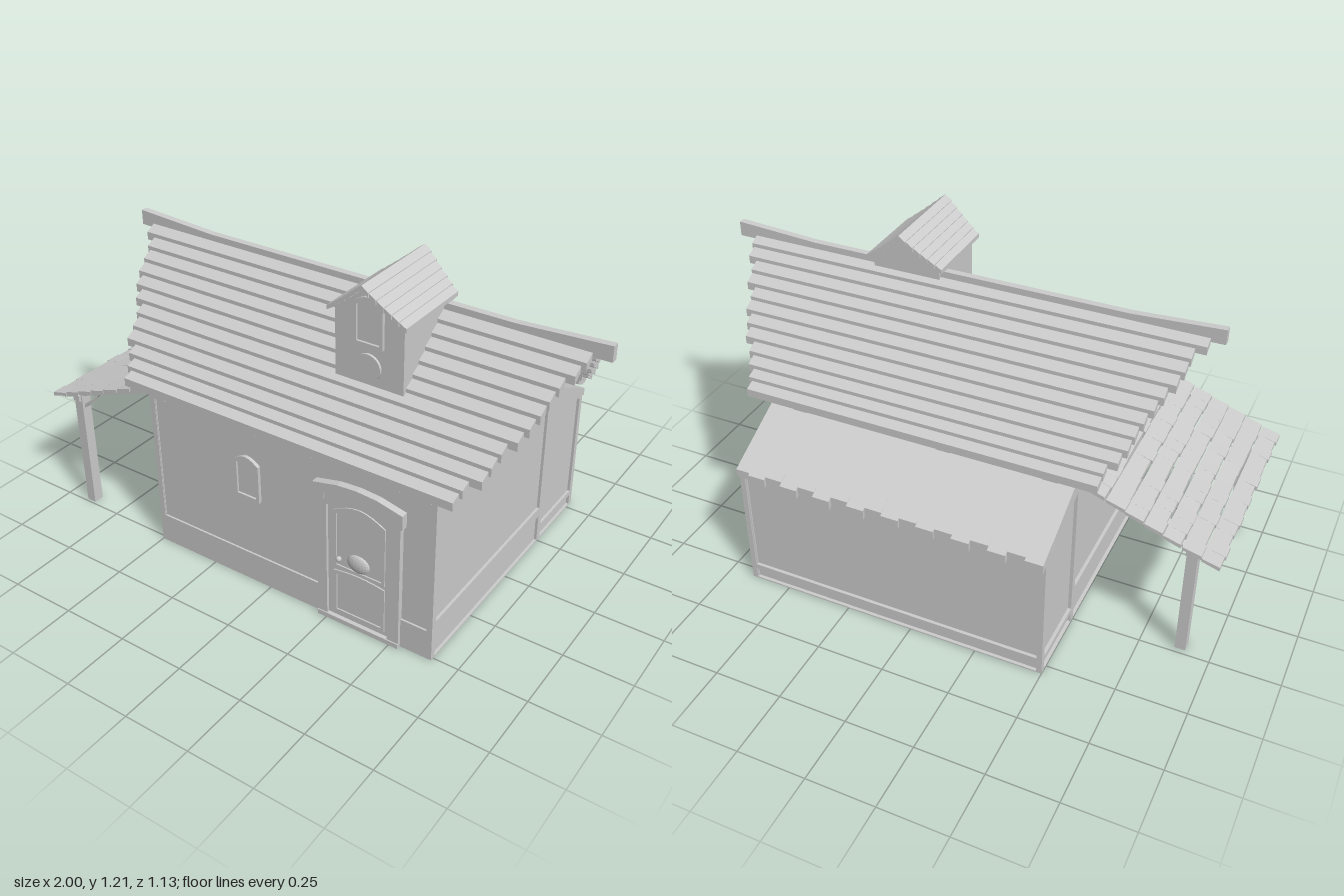
import * as THREE from 'three';

const mat = new THREE.MeshStandardMaterial({ color: 0xcccccc, flatShading: true, side: THREE.DoubleSide });

export function createModel() {
  const model = new THREE.Group();
  const wobble = (i) => { const s = Math.sin(i * 127.1 + 3.7) * 43758.5; return s - Math.floor(s) - 0.5; };

  const add = (name, geo, parent = model) => {
    const m = new THREE.Mesh(geo, mat);
    m.name = name;
    parent.add(m);
    return m;
  };
  const group = (name) => {
    const g = new THREE.Group();
    g.name = name;
    model.add(g);
    return g;
  };
  const box = (name, x0, x1, y0, y1, z0, z1, parent) => {
    const geo = new THREE.BoxGeometry(x1 - x0, y1 - y0, z1 - z0);
    geo.translate((x0 + x1) / 2, (y0 + y1) / 2, (z0 + z1) / 2);
    return add(name, geo, parent);
  };
  const toShape = (pts, holes = []) => {
    const s = new THREE.Shape(pts.map((p) => new THREE.Vector2(...p)));
    holes.forEach((h) => s.holes.push(new THREE.Path(h.map((p) => new THREE.Vector2(...p)))));
    return s;
  };
  // Outline in (z, y), extruded along x
  const sidePrism = (name, pts, x0, x1, holes, parent) => {
    const geo = new THREE.ExtrudeGeometry(toShape(pts, holes), { depth: x1 - x0, bevelEnabled: false });
    geo.rotateY(-Math.PI / 2);
    geo.translate(x1, 0, 0);
    return add(name, geo, parent);
  };
  // Outline in (x, y), extruded along z
  const frontPrism = (name, pts, z0, z1, holes, parent) => {
    const geo = new THREE.ExtrudeGeometry(toShape(pts, holes), { depth: z1 - z0, bevelEnabled: false });
    geo.translate(0, 0, z0);
    return add(name, geo, parent);
  };
  const rect = (a, b, y0, y1) => [[a, y0], [b, y0], [b, y1], [a, y1]];
  // Rectangle with a low arched top
  const arch = (x0, x1, y0, y1, rise, n = 8) => {
    const pts = [[x0, y0], [x1, y0]];
    for (let i = 0; i <= n; i++) {
      const t = i / n;
      pts.push([x1 + (x0 - x1) * t, y1 - rise + rise * Math.sin(Math.PI * t)]);
    }
    return pts;
  };

  // Hollow house shell: thin walls with raised timber frames
  const walls = group('walls');
  const mainEnd = [[0.51, 0], [0.51, 0.67], [0.115, 1.03], [-0.26, 0.68], [-0.26, 0]];
  const shedEnd = [[-0.26, 0], [-0.26, 0.64], [-0.535, 0.49], [-0.535, 0]];
  const mainHoles = [
    [[0.48, 0.69], [0.115, 0.99], [-0.25, 0.69]],
    rect(-0.245, 0.49, 0.15, 0.645),
    rect(-0.245, 0.49, 0.005, 0.112),
  ];
  const shedHoles = [
    [[-0.27, 0.065], [-0.27, 0.59], [-0.518, 0.48], [-0.518, 0.065]],
    rect(-0.518, -0.27, 0.005, 0.045),
  ];
  [[0.633, 0.645, 0.645, 0.655], [-0.488, -0.478, -0.5, -0.488]].forEach(([a, b, c, d]) => {
    sidePrism('gableWall', mainEnd, a, b, [], walls);
    sidePrism('gableFrame', mainEnd, c, d, mainHoles, walls);
    sidePrism('shedEndWall', shedEnd, a, b, [], walls);
    sidePrism('shedEndFrame', shedEnd, c, d, shedHoles, walls);
  });
  box('frontWall', -0.498, 0.653, 0, 0.69, 0.492, 0.506, walls);
  box('frontPlinth', -0.5, 0.655, 0, 0.115, 0.5, 0.513, walls);
  [[-0.5, -0.48], [0.635, 0.655]].forEach(([a, b]) => box('cornerPost', a, b, 0, 0.68, 0.49, 0.513, walls));
  box('shedBackWall', -0.498, 0.653, 0, 0.49, -0.528, -0.518, walls);
  frontPrism('shedBackFrame', rect(-0.5, 0.655, 0, 0.49), -0.54, -0.528,
    [rect(-0.48, 0.635, 0.065, 0.47), rect(-0.48, 0.635, 0.005, 0.045)], walls);

  // Round gable vents
  [0.65, -0.497].forEach((x) => {
    const geo = new THREE.CylinderGeometry(0.046, 0.046, 0.025, 24);
    geo.rotateZ(Math.PI / 2);
    geo.translate(x, 0.67, 0.112);
    add('gableVent', geo);
  });

  // Main roof: overlapping plank rows that widen toward the ridge
  const roof = group('mainRoof');
  const slope = (t) => {
    const d = 0.012 + 0.433 * t;
    return [d, d < 0.36 ? 1.066 - 0.915 * d : 0.7366 - (d - 0.36) * 0.75];
  };
  const rows = 12;
  [1, -1].forEach((side) => {
    for (let i = 0; i < rows; i++) {
      const [d0, y0] = slope(i / rows);
      const [d1, y1] = slope((i + 1) / rows);
      const pts = [[d0, y0], [d1, y1 + 0.014], [d1, y1 - 0.016], [d0, y0 - 0.026]];
      const k = 1 - i / (rows - 1);
      const grow = 0.205 * Math.pow(k, 0.9);
      const j = i * 2 + (side > 0 ? 0 : 50);
      sidePrism('roofPlank', pts.map(([d, y]) => [0.112 + side * d, y]),
        -0.572 - grow + wobble(j) * 0.025, 0.73 + grow + wobble(j + 1) * 0.025, [], roof);
    }
  });
  frontPrism('ridgeBeam', [[-0.84, 1.04], [-0.5, 1.035], [0.66, 1.035], [1, 1.04], [1, 1.095],
    [0.68, 1.077], [-0.52, 1.077], [-0.84, 1.095]], 0.096, 0.122, [], roof);

  // Joist ends under the eaves
  [-0.42, -0.035, 0.19, 0.52, 0.63].forEach((x) => box('frontJoist', x - 0.027, x + 0.027, 0.65, 0.682, 0.46, 0.556, roof));
  [-0.42, -0.035, 0.52].forEach((x) => box('backJoist', x - 0.027, x + 0.027, 0.652, 0.68, -0.33, -0.23, roof));

  // Rear shed roof with uneven tiles along the lower edge
  const shedRoof = group('shedRoof');
  sidePrism('shedRoofSlab', [[-0.23, 0.675], [-0.55, 0.51], [-0.55, 0.485], [-0.23, 0.65]], -0.5, 0.6, [], shedRoof);
  sidePrism('shedRakeBoard', [[-0.23, 0.672], [-0.553, 0.508], [-0.553, 0.478], [-0.23, 0.625]], 0.6, 0.656, [], shedRoof);
  for (let i = 0; i < 17; i++) {
    const x = -0.5 + i * 1.1 / 17;
    const drop = i % 2 ? 0 : 0.012 + wobble(i) * 0.006;
    sidePrism('edgeTile', [[-0.49, 0.545], [-0.555 - drop, 0.513 - drop * 0.6], [-0.555 - drop, 0.482 - drop], [-0.49, 0.515]],
      x, x + 1.1 / 17, [], shedRoof);
  }

  // Side canopy: shingle rows, posts, rafters and braces
  const canopy = group('sideCanopy');
  const canopyAt = (t) => [-0.47 - 0.53 * t, 0.665 - 0.23 * t + 0.022 * t * t];
  for (let i = 0; i < 8; i++) {
    const [x0, y0] = canopyAt(i / 8);
    const [x1, y1] = canopyAt((i + 1) / 8);
    for (let k = 0; k < 14; k++) {
      const z0 = -0.29 + k * 0.8 / 14;
      const e = 0.008 * wobble(i * 14 + k) + 0.004;
      frontPrism('canopyShingle', [[x0, y0], [x1 + e, y1 + 0.007], [x1 + e, y1 - 0.008], [x0, y0 - 0.012]],
        z0, z0 + 0.8 / 14, [], canopy);
    }
  }
  [-0.21, 0.47].forEach((z) => {
    box('canopyPost', -0.91, -0.872, 0, 0.482, z - 0.02, z + 0.02, canopy);
    frontPrism('canopyRafter', [[-0.49, 0.648], [-0.97, 0.458], [-0.97, 0.44], [-0.49, 0.62]], z - 0.015, z + 0.015, [], canopy);
    frontPrism('canopyBrace', [[-0.875, 0.42], [-0.79, 0.505], [-0.775, 0.51], [-0.875, 0.438]], z - 0.01, z + 0.01, [], canopy);
  });
  box('canopyBeam', -0.905, -0.877, 0.455, 0.482, -0.27, 0.5, canopy);

  // Front door with arched frame and panels
  const door = group('door');
  frontPrism('doorFrame', arch(0.215, 0.535, 0, 0.55, 0.05), 0.506, 0.526, [arch(0.252, 0.492, 0.018, 0.515, 0.045)], door);
  frontPrism('doorCap', [[0.203, 0.49], [0.245, 0.49], [0.25, 0.52], [0.31, 0.54], [0.375, 0.545], [0.44, 0.54],
    [0.495, 0.52], [0.5, 0.49], [0.545, 0.49], [0.545, 0.545], [0.45, 0.567], [0.375, 0.572], [0.3, 0.567], [0.203, 0.545]],
    0.506, 0.532, [], door);
  frontPrism('doorLeaf', arch(0.252, 0.492, 0.018, 0.515, 0.045), 0.5, 0.515, [], door);
  const panel = (name, outer, inner) => frontPrism(name, outer, 0.513, 0.52, [inner], door);
  panel('upperPanel', arch(0.275, 0.475, 0.225, 0.49, 0.035), arch(0.287, 0.463, 0.237, 0.475, 0.03));
  panel('lowerPanel', arch(0.275, 0.475, 0.035, 0.22, 0.01), arch(0.287, 0.463, 0.047, 0.208, 0.01));
  const oval = new THREE.SphereGeometry(1, 20, 10);
  oval.scale(0.044, 0.035, 0.014);
  oval.translate(0.372, 0.27, 0.515);
  add('doorOval', oval, door);
  const knob = new THREE.SphereGeometry(0.01, 10, 8);
  knob.translate(0.3, 0.268, 0.525);
  add('doorKnob', knob, door);
  box('doorStep', 0.215, 0.535, 0, 0.018, 0.5, 0.53, door);

  // Small arched windows
  const windowAt = (x, y, w, h, z) => {
    const g = group('smallWindow');
    frontPrism('windowFrame', arch(x - w, x + w, y - h, y + h, 0.025), z, z + 0.014,
      [arch(x - w + 0.012, x + w - 0.012, y - h + 0.012, y + h - 0.012, 0.02)], g);
    frontPrism('windowPane', arch(x - w + 0.01, x + w - 0.01, y - h + 0.01, y + h - 0.01, 0.02), z, z + 0.006, [], g);
  };
  windowAt(-0.082, 0.437, 0.052, 0.085, 0.505);
  windowAt(0.304, 1.075, 0.054, 0.085, 0.353);

  // Roof turret with its own little gable roof
  const turret = group('turret');
  frontPrism('turretBody', [[0.175, 0.845], [0.43, 0.845], [0.43, 1.1], [0.302, 1.195], [0.175, 1.1]], 0.085, 0.355, [], turret);
  const vent = new THREE.CylinderGeometry(0.047, 0.047, 0.012, 24);
  vent.rotateX(Math.PI / 2);
  vent.translate(0.302, 0.915, 0.358);
  add('turretVent', vent, turret);
  // Roof slabs overhang more at the peak than at the eaves
  [1, -1].forEach((side) => {
    const n = 6;
    for (let i = 0; i < n; i++) {
      const a = i / n, b = (i + 1) / n;
      const at = (t) => [0.302 + side * 0.145 * t, 1.213 - 0.118 * t + 0.012 * t * (t - 1)];
      const [x0, y0] = at(a), [x1, y1] = at(b);
      const over = 0.03 * (1 - a);
      frontPrism('turretShingle', [[x0, y0], [x1, y1 + 0.003], [x1, y1 - 0.013], [x0, y0 - 0.016]],
        0.072 - over * 1.3, 0.37 + over, [], turret);
    }
  });
  [0.335, 0.22, 0.1].forEach((z) => box('turretJoist', 0.158, 0.447, 1.08, 1.098, z - 0.011, z + 0.011, turret));

  return model;
}
